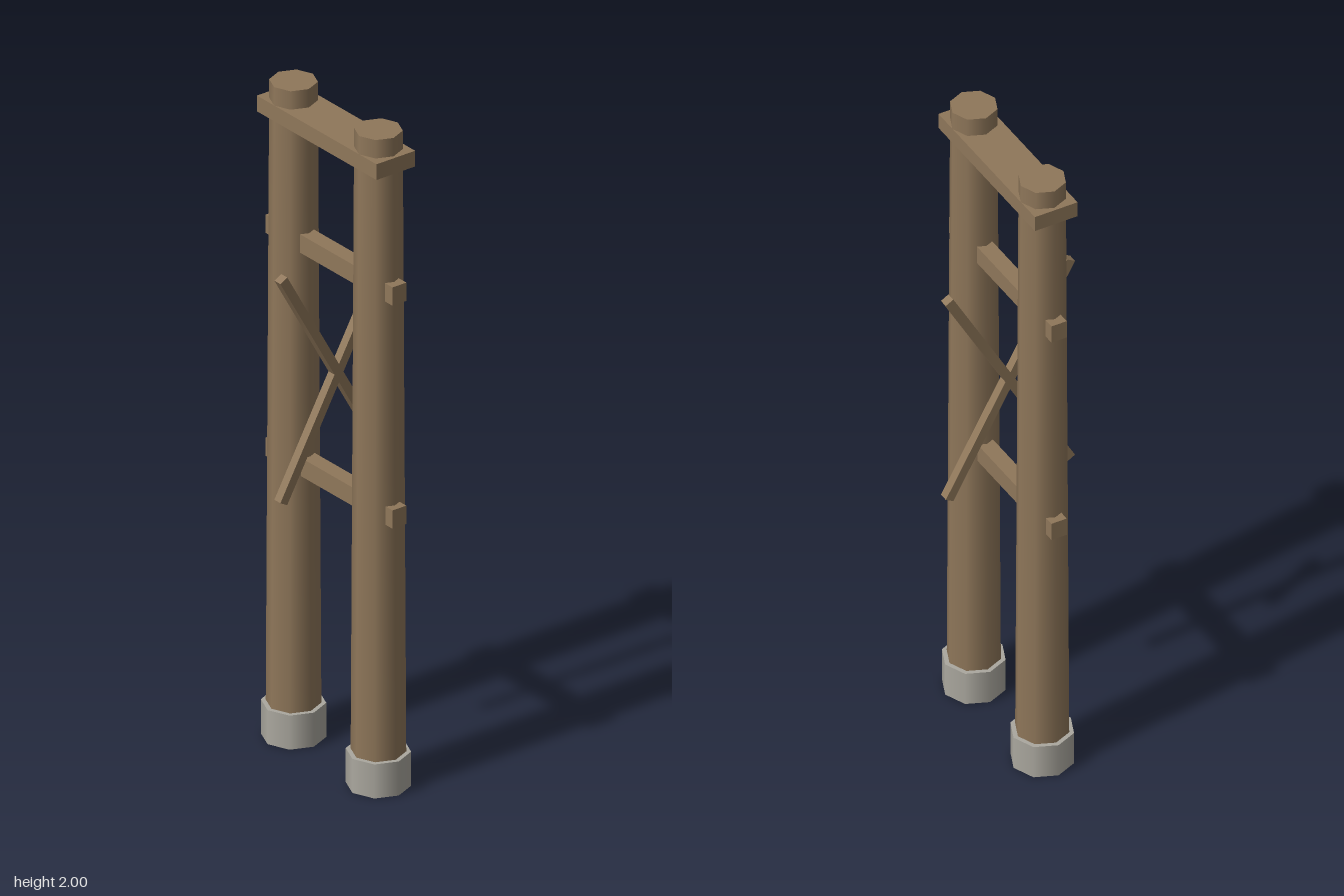
import * as THREE from 'three';

export function createModel() {
  const model = new THREE.Group();
  model.name = 'timberTrestle';

  const wood = new THREE.MeshStandardMaterial({ color: 0x8f775a });
  wood.name = 'weathered wood';
  const concrete = new THREE.MeshStandardMaterial({ color: 0xaba89f });
  concrete.name = 'pale concrete';

  const add = (name, geometry, material, x, y, z = 0) => {
    const mesh = new THREE.Mesh(geometry, material);
    mesh.name = name;
    mesh.position.set(x, y, z);
    model.add(mesh);
    return mesh;
  };

  // Two tapered eight-sided posts, each standing in a concrete footing
  for (const [side, s] of [['left', 1], ['right', -1]]) {
    add(side + 'Post', new THREE.CylinderGeometry(0.067, 0.077, 2, 8), wood, s * 0.188, 1);
    add(side + 'Footing', new THREE.CylinderGeometry(0.09, 0.09, 0.104, 8), concrete, s * 0.188, 0.053);
  }

  // Wide cap plank near the top
  add('capPlank', new THREE.BoxGeometry(0.53, 0.048, 0.134), wood, 0, 1.92);

  // Cross rails passing through both posts
  add('upperRail', new THREE.BoxGeometry(0.562, 0.056, 0.048), wood, 0, 1.533);
  add('lowerRail', new THREE.BoxGeometry(0.562, 0.056, 0.048), wood, 0, 0.852);

  // Crossed diagonal braces between the posts, leaning front to back
  for (const [name, s] of [['forwardBrace', 1], ['backwardBrace', -1]]) {
    const brace = add(name, new THREE.BoxGeometry(0.027, 0.782, 0.027), wood, 0, 1.186);
    brace.rotation.x = s * 0.511;
  }

  return model;
}
